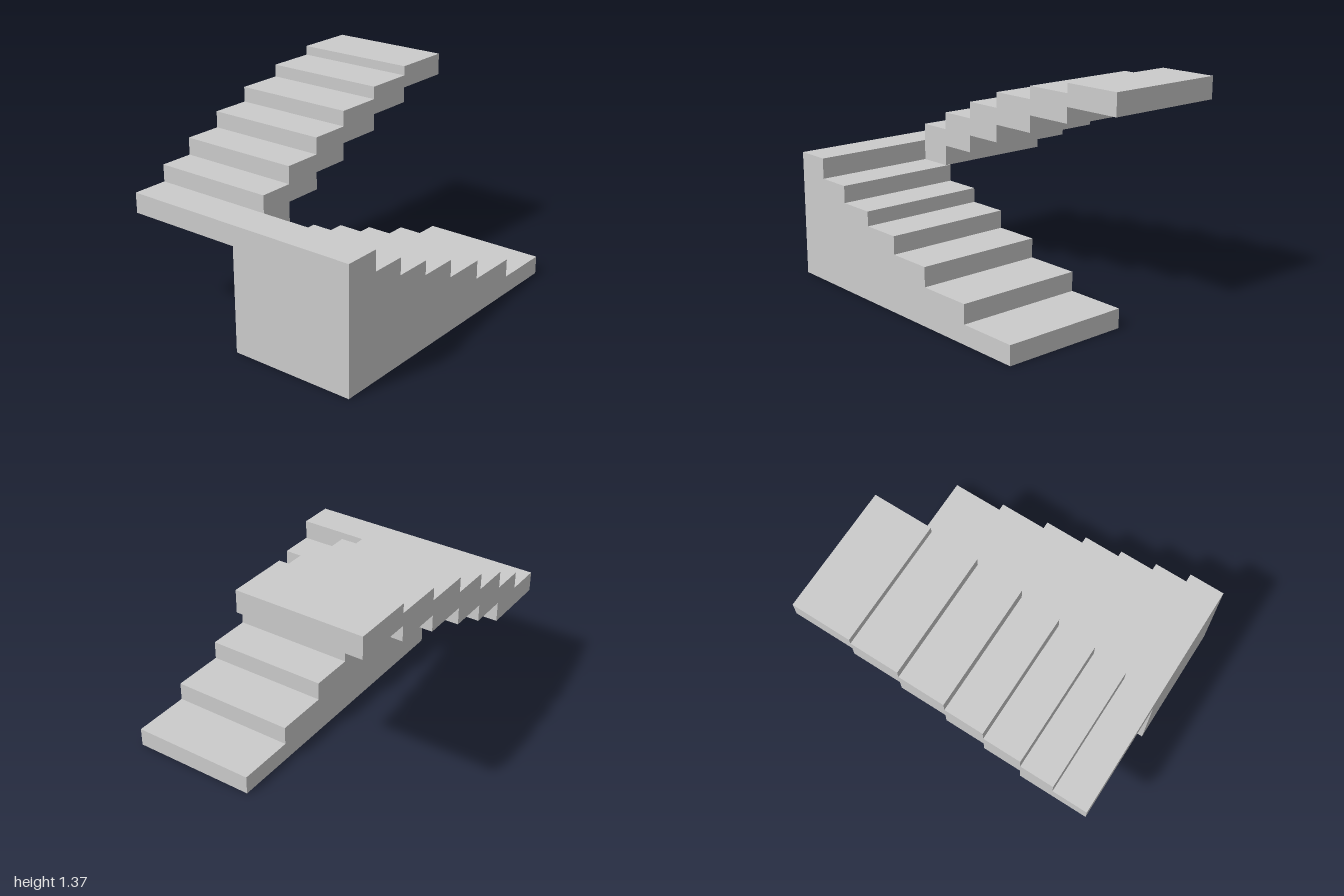
import * as THREE from 'three';

const material = new THREE.MeshStandardMaterial({ color: 0xcccccc, flatShading: true });

// Extrude a side profile of [z, y] points across x0..x1
function sideExtrude(name, points, x0, x1) {
  const shape = new THREE.Shape(points.map(([z, y]) => new THREE.Vector2(-z, y)));
  const geometry = new THREE.ExtrudeGeometry(shape, { depth: x1 - x0, bevelEnabled: false });
  geometry.rotateY(Math.PI / 2);
  geometry.translate(x0, 0, 0);
  const mesh = new THREE.Mesh(geometry, material);
  mesh.name = name;
  return mesh;
}

export function createModel() {
  const group = new THREE.Group();
  group.name = 'staircase';
  const halfWidth = 0.803, landingBottom = 0.675, landingTop = 0.805, landingBack = 0.768;

  // Solid lower flight, rising from the back towards the landing
  const lowerEdges = [-1, -0.616, -0.262, 0.031, 0.293, 0.538, landingBack, 1];
  const lowerTops = [0.12, 0.24, 0.362, 0.475, 0.567, landingBottom, landingTop];
  const lower = [[1, 0], [-1, 0]];
  lowerTops.forEach((y, i) => lower.push([lowerEdges[i], y], [lowerEdges[i + 1], y]));
  group.add(sideExtrude('lowerFlight', lower, -0.022, halfWidth));

  // Landing slab reaching across to the upper flight
  group.add(sideExtrude('landing', [
    [1, landingBottom], [landingBack, landingBottom], [landingBack, landingTop], [1, landingTop],
  ], -halfWidth, -0.022));

  // Upper flight with a stepped underside, each tread two risers deep
  const edges = [landingBack, 0.546, 0.296, 0.038, -0.265, -0.582, -0.97];
  const levels = [landingBottom, landingTop, 0.915, 1.026, 1.132, 1.23, 1.31, 1.37];
  const top = [], under = [];
  for (let i = 0; i < 6; i++) {
    const bottom = i < 5 ? levels[i] : levels[5];
    top.push([edges[i], levels[i + 2]], [edges[i + 1], levels[i + 2]]);
    under.push([edges[i], bottom], [edges[i + 1], bottom]);
  }
  group.add(sideExtrude('upperFlight', [...under, ...top.reverse()], -halfWidth, 0.007));

  return group;
}
